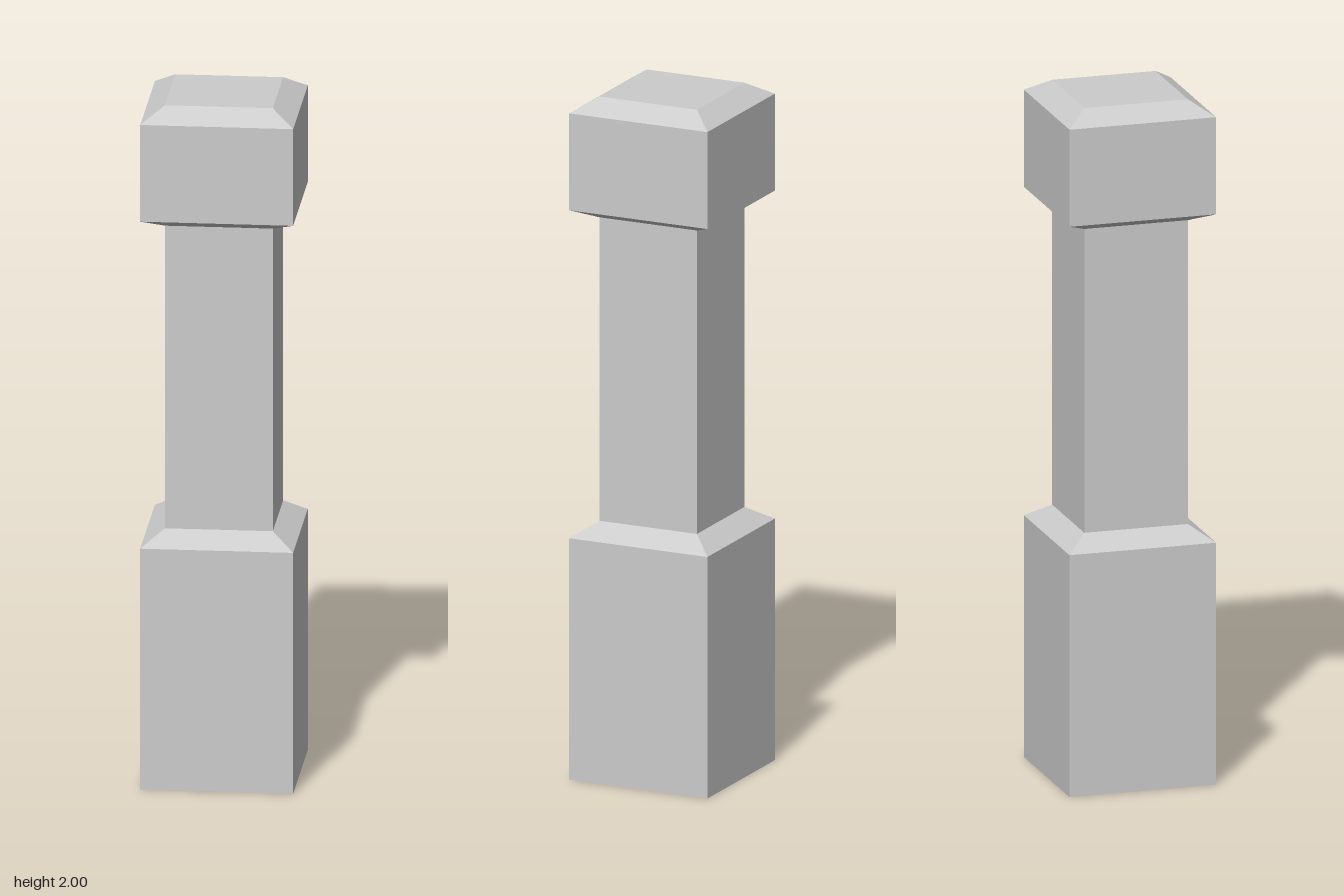
import * as THREE from 'three';

const WIDE = 0.217;   // half width of base and cap
const NARROW = 0.153; // half width of shaft and cap top

const material = new THREE.MeshStandardMaterial({ color: 0xcccccc, flatShading: true });

// Square section swept up a profile of [half width, height] pairs
function squarePart(name, profile) {
  const points = profile.map(([half, y]) => new THREE.Vector2(half * Math.SQRT2, y));
  const geometry = new THREE.LatheGeometry(points, 4, Math.PI / 4);
  const mesh = new THREE.Mesh(geometry, material);
  mesh.name = name;
  return mesh;
}

export function createModel() {
  const post = new THREE.Group();
  post.name = 'post';

  // Tall base block with a sloped shoulder
  post.add(squarePart('base', [[0, 0], [WIDE, 0], [WIDE, 0.71], [NARROW, 0.753]]));

  // Slim square shaft
  post.add(squarePart('shaft', [[NARROW, 0.753], [NARROW, 1.645]]));

  // Cap block, bevelled below and above
  post.add(squarePart('cap', [
    [NARROW, 1.645], [WIDE, 1.674], [WIDE, 1.959], [NARROW, 2], [0, 2],
  ]));

  return post;
}
